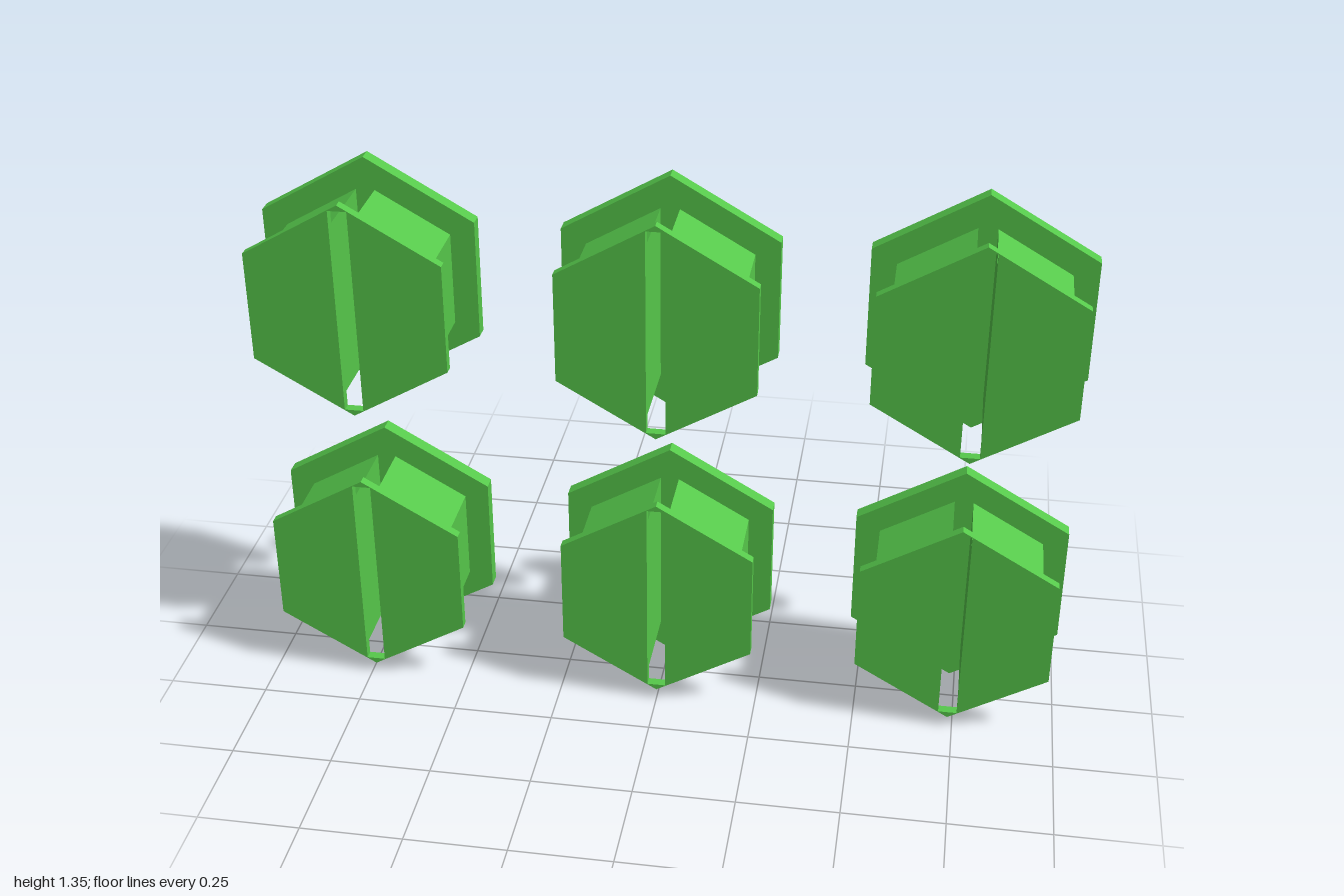
import * as THREE from 'three';

const SLOT = 0.023; // half width of the slot
const material = new THREE.MeshStandardMaterial({ color: 0x56c84b, flatShading: true });

// Hexagon with a corner pointing up
function hexShape(radius) {
  const points = [];
  for (let i = 0; i < 6; i++) {
    const a = Math.PI / 6 + (i * Math.PI) / 3;
    points.push(new THREE.Vector2(radius * Math.cos(a), radius * Math.sin(a)));
  }
  return new THREE.Shape(points);
}

// Half of a hexagon, cut off along one side of the slot
function halfHexShape(radius, side) {
  const w = radius * Math.cos(Math.PI / 6);
  const h = radius - SLOT / Math.sqrt(3);
  const corners = [[SLOT, -h], [w, -radius / 2], [w, radius / 2], [SLOT, h]];
  return new THREE.Shape(corners.map(([x, y]) => new THREE.Vector2(side * x, y)));
}

function slab(name, shape, zBack, zFront) {
  const geometry = new THREE.ExtrudeGeometry(shape, { depth: zFront - zBack, bevelEnabled: false });
  geometry.translate(0, 0, zBack);
  const mesh = new THREE.Mesh(geometry, material);
  mesh.name = name;
  return mesh;
}

function createSpool() {
  const spool = new THREE.Group();
  spool.name = 'hexSpool';

  // Solid back plate
  spool.add(slab('backPlate', hexShape(0.3038), -0.13, -0.093));

  // Hub split in two by the slot
  spool.add(slab('hubLeft', halfHexShape(0.234, 1), -0.093, 0.106));
  spool.add(slab('hubRight', halfHexShape(0.234, -1), -0.093, 0.106));

  // Front plate with the slot, closed by small tips at both ends
  const front = hexShape(0.275);
  const end = 0.26;
  front.holes.push(new THREE.Path([
    new THREE.Vector2(-SLOT, -end), new THREE.Vector2(-SLOT, end),
    new THREE.Vector2(SLOT, end), new THREE.Vector2(SLOT, -end),
  ]));
  spool.add(slab('frontPlate', front, 0.106, 0.13));
  return spool;
}

export function createModel() {
  const model = new THREE.Group();
  model.name = 'hexSpoolSet';
  // Two rows of three
  for (const y of [0.304, 1.042]) {
    for (const x of [-0.737, 0, 0.737]) {
      const spool = createSpool();
      spool.position.set(x, y, 0);
      model.add(spool);
    }
  }
  return model;
}
